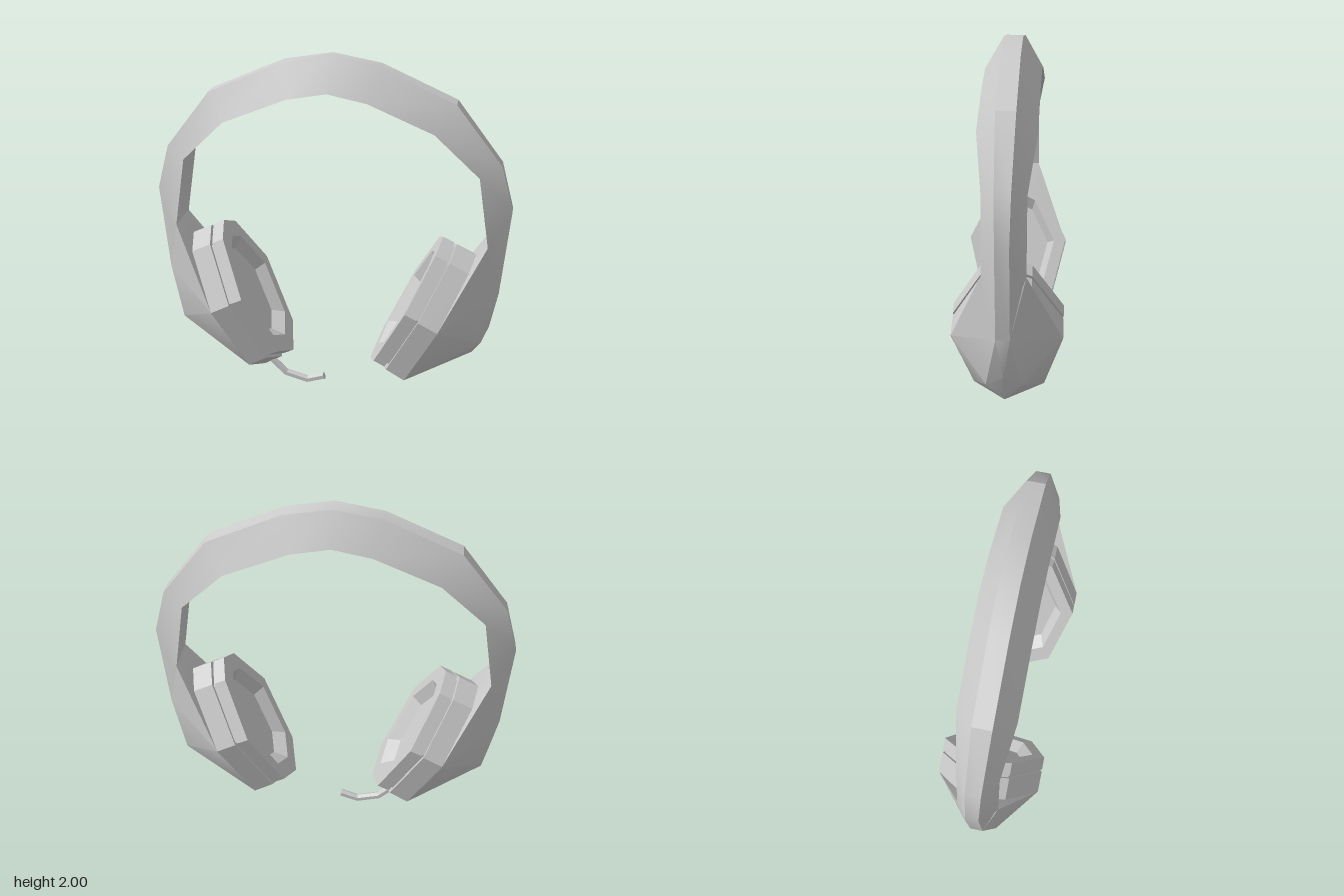
import * as THREE from 'three';
import { toCreasedNormals } from 'three/addons/utils/BufferGeometryUtils.js';
import { ConvexGeometry } from 'three/addons/geometries/ConvexGeometry.js';

const V = (x, y, z) => new THREE.Vector3(x, y, z);
const material = new THREE.MeshStandardMaterial({ color: 0xcccccc });

function part(name, geometry) {
  const mesh = new THREE.Mesh(toCreasedNormals(geometry, 0.45), material);
  mesh.name = name;
  return mesh;
}

// Closed solid through a list of equal-length rings, capped at both ends, always facing outwards
function loft(rings) {
  const tris = [];
  const n = rings[0].length;
  for (let r = 0; r + 1 < rings.length; r++) {
    for (let i = 0; i < n; i++) {
      const j = (i + 1) % n;
      const [a, b, c, d] = [rings[r][i], rings[r][j], rings[r + 1][j], rings[r + 1][i]];
      tris.push([a, b, c], [a, c, d]);
    }
  }
  const last = rings[rings.length - 1];
  for (let i = 1; i + 1 < n; i++) {
    tris.push([rings[0][0], rings[0][i + 1], rings[0][i]], [last[0], last[i], last[i + 1]]);
  }
  let volume = 0;
  for (const [a, b, c] of tris) volume += a.dot(b.clone().cross(c));
  if (volume < 0) tris.forEach((t) => t.reverse());
  return new THREE.BufferGeometry().setFromPoints(tris.flat());
}

// Headband half: outer x, y, half width, then inner x, y, half width
const bandHalf = [
  [0, 2.0, 0.05, 0, 1.83, 0.15],
  [0.26, 1.955, 0.05, 0.21, 1.79, 0.15],
  [0.66, 1.78, 0.05, 0.56, 1.645, 0.15],
  [0.91, 1.46, 0.04, 0.80, 1.41, 0.11],
  [0.98, 1.21, 0.035, 0.865, 1.02, 0.11],
  [0.94, 0.72, 0.035, 0.845, 0.9, 0.11],
];

function headband() {
  const section = (s) => ([ox, oy, ow, ix, iy, iw]) =>
    [V(s * ox, oy, ow), V(s * ox, oy, -ow), V(s * ix, iy, -iw), V(s * ix, iy, iw)];
  const right = bandHalf.slice(1).reverse().map(section(-1));
  return part('headband', loft([...right, ...bandHalf.map(section(1))]));
}

// Ear outline as [distance up the tilted cup, z]
const outline = [
  [0, 0], [0.105, 0.19], [0.51, 0.29], [0.83, 0.13],
  [0.895, 0], [0.83, -0.13], [0.51, -0.29], [0.105, -0.19],
];

function earCup(s) {
  // Outline ring at a given depth outwards from the pad face
  const ring = (depth, scale = 1, drop = 0) => outline.map(([v, z]) => {
    const up = 0.46 + (v - 0.46) * scale - drop * (1 - v / 0.9);
    return V(s * (0.23 + 0.436 * up + 0.9 * depth), 0.215 + 0.9 * up - 0.436 * depth, z * scale);
  });
  const cup = new THREE.Group();
  cup.name = s > 0 ? 'leftEarCup' : 'rightEarCup';

  // Cushion with a recessed opening
  cup.add(part('earPad', loft([ring(0.07), ring(0), ring(0.0, 0.76), ring(0.06, 0.62)])));
  cup.add(part('padSeam', loft([ring(0.065, 0.94), ring(0.095, 0.94)])));
  cup.add(part('cupRim', loft([ring(0.085, 1, 0.015), ring(0.205, 1, 0.025)])));

  // Faceted outer shell tapering into the band
  const points = ring(0.204, 1, 0.025);
  for (const z of [1, -1]) {
    points.push(V(s * 0.865, 1.02, z * 0.11), V(s * 0.94, 0.72, z * 0.035), V(s * 0.86, 0.43, z * 0.09));
  }
  points.push(V(s * 0.9, 0.49, 0), V(s * 0.81, 0.315, 0));
  cup.add(part('cupShell', new ConvexGeometry(points)));
  return cup;
}

// Bent microphone boom under the right cup
function microphone() {
  const path = [[-0.39, 0.17], [-0.275, 0.058], [-0.145, 0.024], [-0.045, 0.058]].map(([x, y]) => V(x, y, 0));
  const rings = path.map((p, k) => {
    const dir = path[Math.min(k + 1, 3)].clone().sub(path[Math.max(k - 1, 0)]).normalize();
    const side = V(-dir.y, dir.x, 0);
    return Array.from({ length: 6 }, (_, i) => {
      const a = (i * Math.PI) / 3;
      return p.clone().addScaledVector(side, 0.022 * Math.cos(a)).add(V(0, 0, 0.022 * Math.sin(a)));
    });
  });
  return part('microphoneBoom', loft(rings));
}

export function createModel() {
  const model = new THREE.Group();
  model.name = 'headset';
  model.add(headband(), earCup(1), earCup(-1), microphone());
  return model;
}
